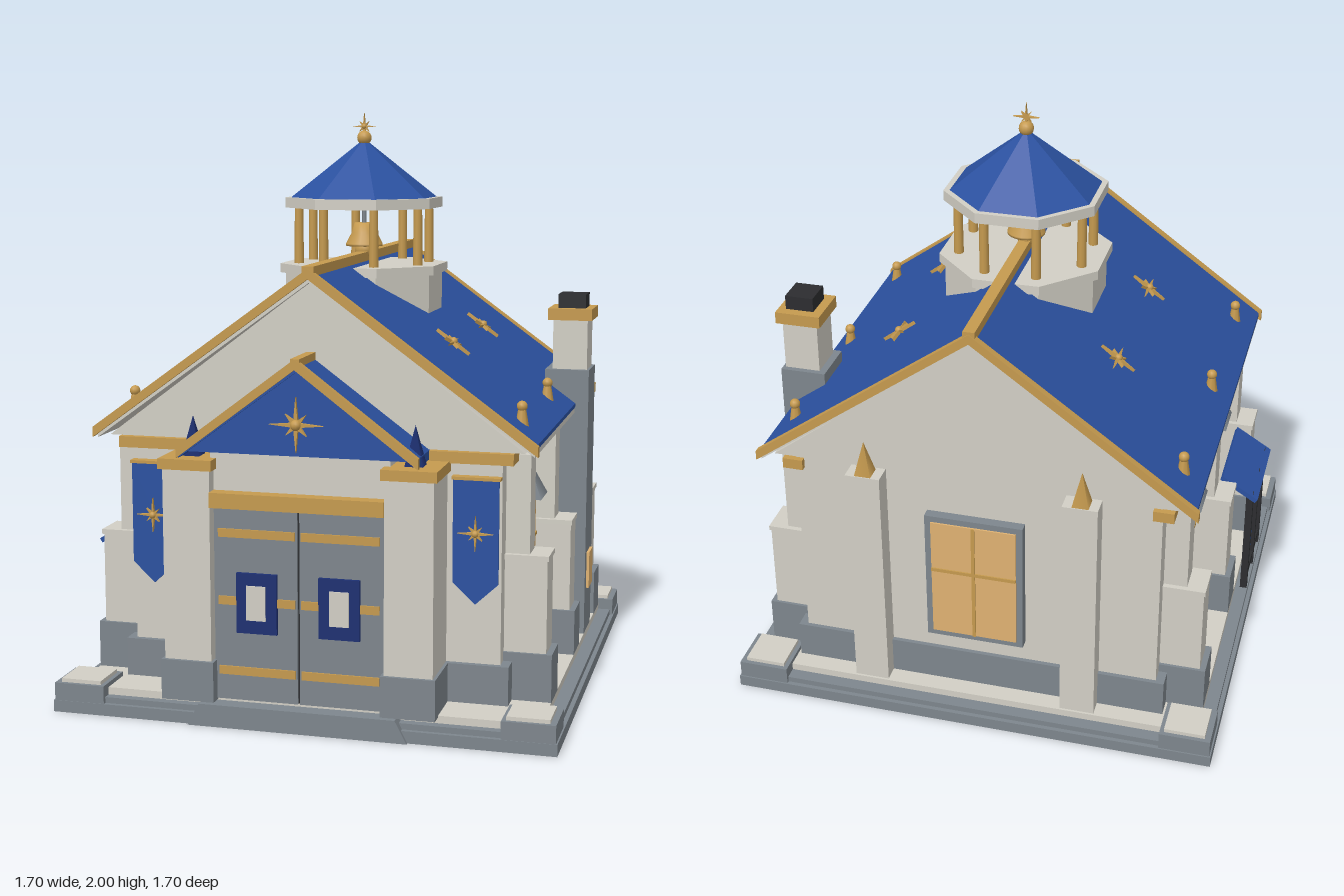
import * as THREE from 'three';

const mat = (name, color) => {
  const m = new THREE.MeshStandardMaterial({ color });
  m.name = name;
  return m;
};

export function createModel() {
  const stone = mat('pale stone', 0xd2cfc5), slate = mat('grey stone', 0x7e868d);
  const blue = mat('blue', 0x2b51a0), navy = mat('dark blue', 0x1d3072);
  const gold = mat('gold', 0xc59a4f), glow = mat('window glow', 0xdfb272), black = mat('charcoal', 0x2c2d30);

  const model = new THREE.Group();
  const add = (name, geo, m, x = 0, y = 0, z = 0, parent = model) => {
    const mesh = new THREE.Mesh(geo, m);
    mesh.name = name;
    mesh.position.set(x, y, z);
    parent.add(mesh);
    return mesh;
  };
  // box given by its lower and upper limits on each axis
  const box = (name, m, x0, x1, y0, y1, z0, z1, parent = model) =>
    add(name, new THREE.BoxGeometry(Math.abs(x1 - x0), y1 - y0, z1 - z0), m, (x0 + x1) / 2, (y0 + y1) / 2, (z0 + z1) / 2, parent);
  const prism = (name, m, pts, z0, z1, parent = model) => {
    const shape = new THREE.Shape(pts.map(p => new THREE.Vector2(...p)));
    return add(name, new THREE.ExtrudeGeometry(shape, { depth: z1 - z0, bevelEnabled: false }), m, 0, 0, z0, parent);
  };
  const chevron = (name, m, w, eave, apex, t, z0, z1) =>
    prism(name, m, [[-w, eave], [-w, eave - t], [0, apex - t], [w, eave - t], [w, eave], [0, apex]], z0, z1);
  // eight-pointed star facing +z
  const star = (name, r, x, y, z, parent = model) => {
    const pts = [];
    for (let i = 0; i < 16; i++) {
      const rad = i % 2 ? r * 0.2 : i % 4 ? r * 0.55 : r;
      pts.push([rad * Math.sin(i * Math.PI / 8), rad * Math.cos(i * Math.PI / 8)]);
    }
    const s = prism(name, gold, pts.reverse(), 0, 0.012, parent);
    s.position.set(x, y, z);
    add(name + 'Boss', new THREE.SphereGeometry(r * 0.2, 10, 8), gold, 0, 0, 0.01, s);
    return s;
  };
  const oct = (top, bottom, h) =>
    new THREE.CylinderGeometry(top / Math.cos(Math.PI / 8), bottom / Math.cos(Math.PI / 8), h, 8).rotateY(Math.PI / 8).toNonIndexed();
  const flat = geo => { geo.computeVertexNormals(); return geo; };

  // plinth with corner blocks and front step
  box('plinth', slate, -0.85, 0.85, 0, 0.04, -0.85, 0.835);
  box('plinthStep', slate, -0.835, 0.835, 0.04, 0.06, -0.835, 0.82);
  box('floor', stone, -0.79, 0.79, 0.06, 0.085, -0.79, 0.79);
  for (const sx of [-1, 1]) for (const z of [-0.76, 0.75]) {
    box('cornerBlock', slate, sx * 0.67, sx * 0.845, 0.04, 0.1, z - 0.085, z + 0.083);
    box('cornerBlockTop', stone, sx * 0.685, sx * 0.825, 0.1, 0.113, z - 0.07, z + 0.07);
  }
  prism('frontStep', slate, [[-0.37, 0], [0.37, 0], [0.33, 0.075], [-0.33, 0.075]], 0.78, 0.846);

  // main body and gables
  box('walls', stone, -0.63, 0.63, 0.08, 0.93, -0.71, 0.625);
  box('wallBase', slate, -0.66, 0.66, 0.08, 0.215, -0.725, 0.645);
  prism('gable', stone, [[-0.705, 0.92], [0.705, 0.92], [0, 1.45]], -0.712, 0.645);
  box('frontCornice', gold, -0.67, 0.67, 0.88, 0.917, 0.62, 0.655);

  // main roof
  chevron('roofBoard', stone, 0.74, 0.935, 1.47, 0.022, -0.745, 0.67);
  chevron('roof', blue, 0.743, 0.948, 1.485, 0.014, -0.745, 0.67);
  for (const [a, b] of [[-0.76, -0.735], [0.66, 0.685]]) chevron('gableTrim', gold, 0.752, 0.95, 1.495, 0.034, a, b);
  box('ridgeCap', gold, -0.02, 0.02, 1.468, 1.502, -0.755, 0.68);

  // tall window facing +z, optional pointed hood
  const makeWindow = (w, h, hood) => {
    const g = new THREE.Group();
    g.name = 'window';
    const t = 0.022;
    box('windowFrame', slate, -w / 2, w / 2, 0, h, -0.02, 0.02, g);
    box('windowPane', glow, -w / 2 + t, w / 2 - t, t, h - t, 0.02, 0.026, g);
    box('mullion', gold, -0.006, 0.006, t, h - t, 0.02, 0.031, g);
    box('transom', gold, -w / 2 + t, w / 2 - t, h * 0.56, h * 0.56 + 0.012, 0.02, 0.031, g);
    if (hood) {
      const c = add('windowHood', new THREE.ConeGeometry(0.1, 0.13, 4).rotateY(Math.PI / 4), slate, 0, h + 0.045, 0.01, g);
      c.scale.z = 0.8;
    }
    model.add(g);
    return g;
  };
  const backWindow = makeWindow(0.34, 0.49, false);
  backWindow.position.set(0, 0.29, -0.725);
  backWindow.rotation.y = Math.PI;

  const slope = Math.atan2(0.537, 0.743);
  const roofY = x => 1.485 - Math.abs(x) * 0.537 / 0.743;
  for (const s of [-1, 1]) {
    // side cornice, buttresses and eave finials
    box('sideCornice', gold, s * 0.6, s * 0.67, 0.88, 0.917, -0.73, 0.63);
    for (const z of [0.505, -0.035, -0.59]) {
      box('buttressBase', slate, s * 0.6, s * 0.79, 0.08, 0.245, z - 0.07, z + 0.07);
      box('buttressLower', stone, s * 0.6, s * 0.77, 0.245, 0.555, z - 0.06, z + 0.06);
      box('buttressLedge', stone, s * 0.6, s * 0.775, 0.555, 0.572, z - 0.066, z + 0.066);
      box('buttressUpper', stone, s * 0.6, s * 0.71, 0.572, 0.9, z - 0.048, z + 0.048);
      add('finialBase', new THREE.CylinderGeometry(0.012, 0.025, 0.075, 8), gold, s * 0.67, 1.01, z);
      add('finialBall', new THREE.SphereGeometry(0.018, 12, 8), gold, s * 0.67, 1.05, z);
    }
    for (const z of [0.24, -0.31]) {
      const w = makeWindow(0.2, 0.39, true);
      w.position.set(s * 0.64, 0.33, z);
      w.rotation.y = s * Math.PI / 2;
    }
    // stars lying on the roof slopes
    for (const z of [0.24, -0.3]) {
      const holder = new THREE.Group();
      holder.name = 'roofStar';
      holder.position.set(s * 0.38, roofY(0.38), z);
      holder.rotation.z = -s * slope;
      model.add(holder);
      star('roofStarShape', 0.07, 0, 0.004, 0, holder).rotation.x = -Math.PI / 2;
    }
    // rear pilasters
    box('rearPilaster', stone, s * 0.31, s * 0.43, 0.085, 0.92, -0.782, -0.7);
    add('rearSpike', new THREE.ConeGeometry(0.04, 0.12, 4).rotateY(Math.PI / 4), gold, s * 0.37, 0.98, -0.75);
    // porch piers
    box('pierBase', slate, s * 0.28, s * 0.46, 0.08, 0.215, 0.62, 0.84);
    box('pier', stone, s * 0.29, s * 0.45, 0.215, 0.85, 0.62, 0.828);
    box('pierCap', gold, s * 0.28, s * 0.462, 0.85, 0.885, 0.62, 0.84);
    add('pierSpike', new THREE.ConeGeometry(0.042, 0.13, 4).rotateY(Math.PI / 4), navy, s * 0.372, 0.95, 0.745);
    // hanging banners
    const x = s * 0.55;
    prism('banner', blue, [[x - 0.075, 0.83], [x - 0.075, 0.49], [x, 0.42], [x + 0.075, 0.49], [x + 0.075, 0.83]], 0.648, 0.656);
    box('bannerRod', gold, x - 0.08, x + 0.08, 0.828, 0.838, 0.62, 0.66);
    star('bannerStar', 0.058, x, 0.655, 0.656);
    // doors
    box('door', slate, s * 0.004, s * 0.285, 0.085, 0.73, 0.76, 0.8);
    for (const y of [0.17, 0.405, 0.63]) box('doorStrap', gold, s * 0.01, s * 0.27, y, y + 0.028, 0.8, 0.806);
    box('doorPanel', navy, s * 0.07, s * 0.207, 0.315, 0.515, 0.8, 0.813);
    box('doorPanelInset', stone, s * 0.107, s * 0.172, 0.36, 0.475, 0.813, 0.818);
  }

  // porch wall, lintel and pediment
  box('porchWall', stone, -0.3, 0.3, 0.08, 0.92, 0.62, 0.785);
  box('doorGap', black, -0.004, 0.004, 0.085, 0.73, 0.78, 0.79);
  box('lintel', gold, -0.29, 0.29, 0.73, 0.78, 0.76, 0.835);
  prism('pediment', blue, [[-0.375, 0.908], [0.375, 0.908], [0, 1.19]], 0.63, 0.812);
  chevron('porchRoof', blue, 0.395, 0.918, 1.208, 0.03, 0.62, 0.825);
  chevron('porchTrim', gold, 0.4, 0.922, 1.222, 0.034, 0.812, 0.836);
  box('porchRidge', gold, -0.015, 0.015, 1.195, 1.222, 0.64, 0.83);
  star('pedimentStar', 0.09, 0, 1.01, 0.812);

  // chimney
  box('chimneyShaft', slate, 0.63, 0.79, 0.085, 1.07, -0.41, -0.235);
  box('chimneyNeck', stone, 0.655, 0.78, 1.07, 1.25, -0.39, -0.255);
  box('chimneyCap', gold, 0.637, 0.797, 1.25, 1.292, -0.41, -0.24);
  box('chimneyFlue', black, 0.67, 0.77, 1.292, 1.342, -0.375, -0.27);
  box('chimneyHatch', glow, 0.79, 0.8, 0.25, 0.385, -0.372, -0.275);

  // octagonal bell cupola
  const cupola = new THREE.Group();
  cupola.name = 'cupola';
  cupola.position.z = -0.04;
  model.add(cupola);
  add('cupolaBase', flat(oct(0.262, 0.262, 0.15)), stone, 0, 1.365, 0, cupola);
  add('cupolaRim', flat(oct(0.28, 0.28, 0.032)), stone, 0, 1.446, 0, cupola);
  add('cupolaEave', flat(oct(0.262, 0.262, 0.036)), stone, 0, 1.678, 0, cupola);
  add('cupolaRoof', flat(oct(0.002, 0.243, 0.205)), blue, 0, 1.798, 0, cupola);
  for (let i = 0; i < 8; i++) {
    const a = (i + 0.5) * Math.PI / 4, x = 0.235 * Math.sin(a), z = 0.235 * Math.cos(a);
    add('cupolaPost', new THREE.CylinderGeometry(0.015, 0.017, 0.2, 10), gold, x, 1.56, z, cupola);
  }
  const bellProfile = [[0, 1.605], [0.035, 1.605], [0.045, 1.57], [0.066, 1.53], [0.066, 1.522], [0, 1.522]]
    .reverse().map(p => new THREE.Vector2(...p));
  add('bell', new THREE.LatheGeometry(bellProfile, 20), gold, 0, 0, 0, cupola);
  add('bellClapper', new THREE.SphereGeometry(0.034, 14, 10), gold, 0, 1.508, 0, cupola);
  add('bellHanger', new THREE.CylinderGeometry(0.008, 0.008, 0.06, 8), slate, 0, 1.632, 0, cupola);
  add('finialOrb', new THREE.SphereGeometry(0.026, 14, 10), gold, 0, 1.905, 0, cupola);
  star('topStar', 0.045, 0, 1.945, -0.006, cupola);
  add('topSpike', new THREE.ConeGeometry(0.007, 0.09, 8), gold, 0, 1.955, 0, cupola);

  // roofed notice stand on the -x side
  for (const z of [0.075, 0.235, 0.385]) box('standPost', black, -0.835, -0.81, 0.085, 0.51, z - 0.012, z + 0.012);
  for (const y of [0.12, 0.47]) box('standRail', black, -0.832, -0.812, y, y + 0.025, 0.07, 0.39);
  for (const [z, tilt] of [[0.12, 0.35], [0.2, -0.4], [0.28, 0.4], [0.345, -0.3]]) {
    const p = box('standPennant', blue, -0.822, -0.815, 0.17, 0.34, z - 0.02, z + 0.02);
    p.rotation.x = tilt;
  }
  const canopy = box('standCanopy', blue, -0.855, -0.7, 0.522, 0.54, 0.05, 0.41);
  canopy.rotation.z = 0.55;
  canopy.position.set(-0.783, 0.53, 0.23);
  return model;
}
